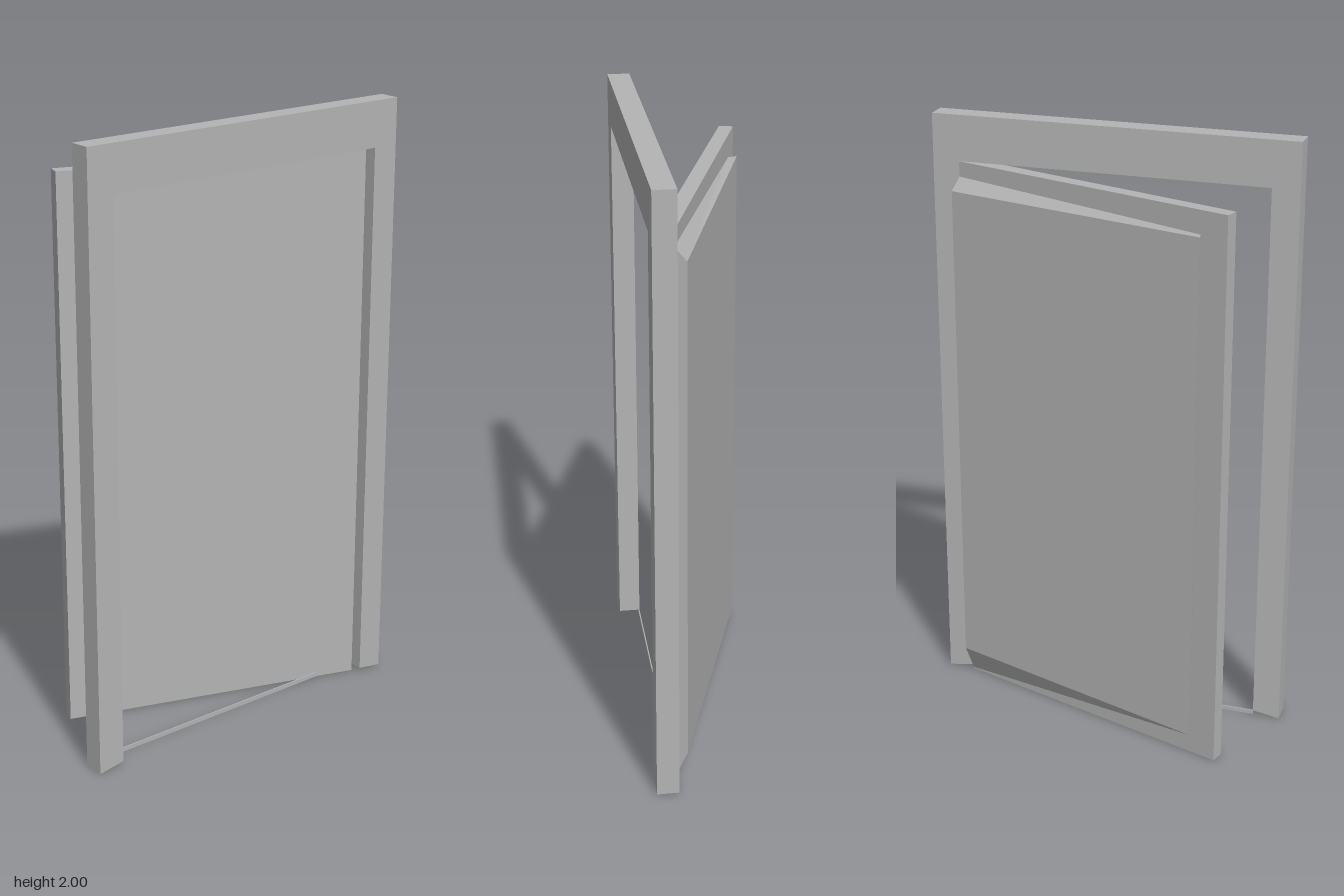
import * as THREE from 'three';

// Six-sided solid between two four-point loops (near loop counter-clockwise from outside)
function loft(near, far) {
  const pos = [];
  const quad = (a, b, c, d) => [a, b, c, a, c, d].forEach(p => pos.push(...p));
  quad(...near);
  quad(far[3], far[2], far[1], far[0]);
  for (let i = 0; i < 4; i++) {
    const j = (i + 1) % 4;
    quad(far[i], far[j], near[j], near[i]);
  }
  const g = new THREE.BufferGeometry();
  g.setAttribute('position', new THREE.Float32BufferAttribute(pos, 3));
  g.computeVertexNormals();
  return g;
}

export function createModel() {
  const group = new THREE.Group();
  const grey = new THREE.MeshStandardMaterial({ color: 0xb4b4b4 });
  grey.name = 'plain grey';
  const add = (name, geometry) => {
    const mesh = new THREE.Mesh(geometry, grey);
    mesh.name = name;
    group.add(mesh);
    return mesh;
  };

  // Door frame: two jambs and a head, feet cut slightly upwards on the inside
  const outline = [[-0.6, 0], [-0.51, 0.014], [-0.51, 1.85], [0.51, 1.85],
    [0.51, 0.014], [0.6, 0], [0.6, 2], [-0.6, 2]];
  const shape = new THREE.Shape(outline.map(([x, y]) => new THREE.Vector2(x, y)));
  const frame = new THREE.ExtrudeGeometry(shape, { depth: 0.072, bevelEnabled: false });
  add('doorFrame', frame.translate(0, 0, 0.125));

  // Thin threshold along the back of the opening
  add('threshold', new THREE.BoxGeometry(1.02, 0.014, 0.004).translate(0, 0.007, 0.127));

  // Door leaf, standing ajar towards the back
  add('doorLeaf', loft(
    [[-0.47, 0, -0.154], [0.496, 0, 0.171], [0.496, 1.85, 0.171], [-0.47, 1.85, -0.154]],
    [[-0.457, 0, -0.198], [0.511, 0, 0.123], [0.511, 1.85, 0.123], [-0.457, 1.85, -0.198]]));

  // Raised panel on the back of the leaf, thicker and bevelled at the hinge side
  add('backPanel', loft(
    [[0.525, 0.097, 0.088], [-0.374, 0.08, -0.198], [-0.374, 1.775, -0.198], [0.525, 1.76, 0.088]],
    [[0.511, 0.005, 0.123], [-0.367, 0.08, -0.168], [-0.367, 1.775, -0.168], [0.511, 1.8, 0.123]]));

  return group;
}
